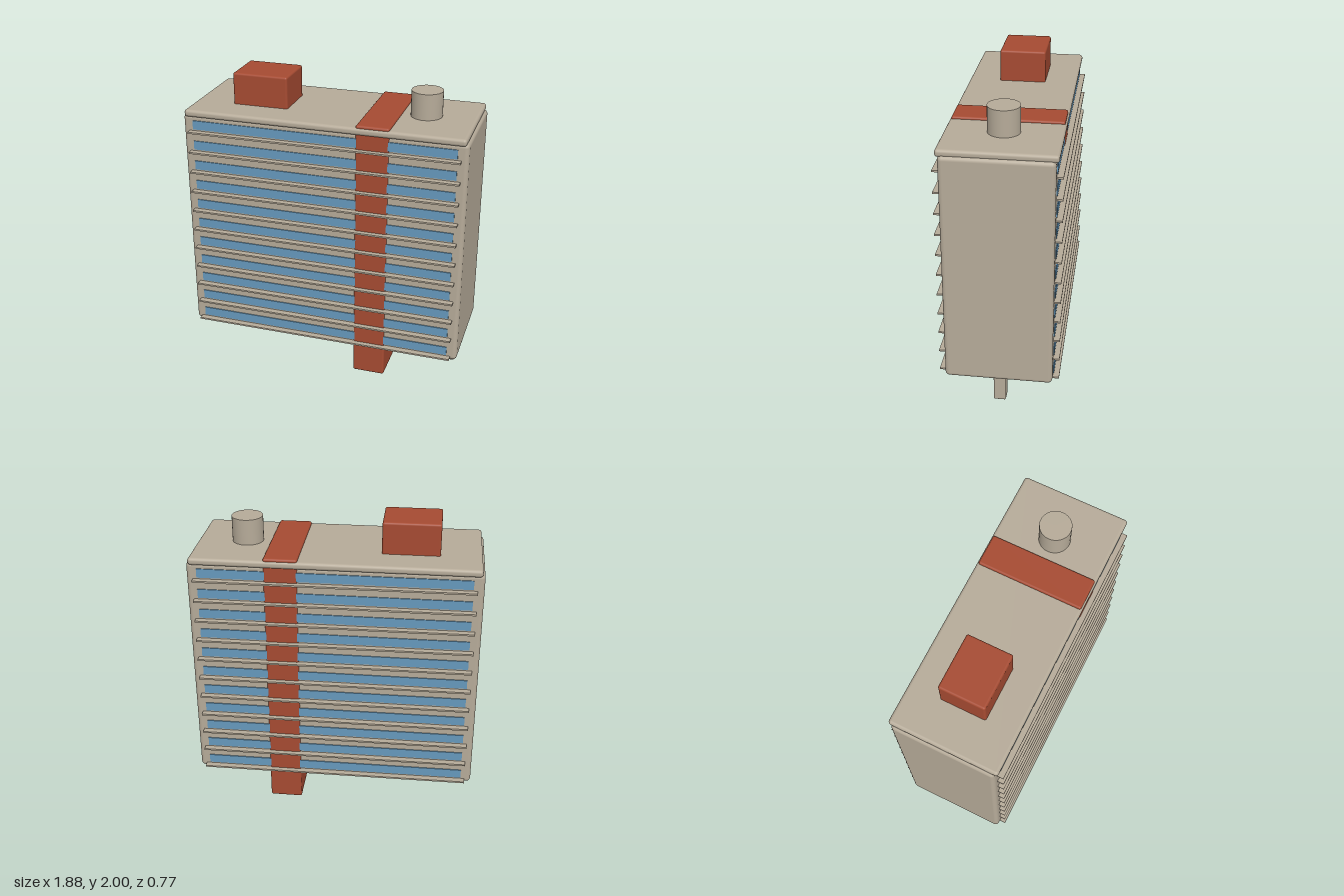
import * as THREE from 'three';
import { RoundedBoxGeometry } from 'three/addons/geometries/RoundedBoxGeometry.js';

export function createModel() {
  const model = new THREE.Group();
  model.name = 'slabBuilding';

  const mat = (name, color) => {
    const m = new THREE.MeshStandardMaterial({ color });
    m.name = name;
    return m;
  };
  const concrete = mat('concrete', 0xb6ab99);
  const brick = mat('brickRed', 0xa64b32);
  const glass = mat('blueGlass', 0x6699bd);

  const add = (name, geometry, material, x, y, z) => {
    const mesh = new THREE.Mesh(geometry, material);
    mesh.name = name;
    mesh.position.set(x, y, z);
    model.add(mesh);
    return mesh;
  };
  // Rounded block given by its lower and upper corners in x and y, centred on z = 0
  const block = (name, material, x0, x1, y0, y1, depth, radius) =>
    add(name, new RoundedBoxGeometry(x1 - x0, y1 - y0, depth, 3, radius), material,
      (x0 + x1) / 2, (y0 + y1) / 2, 0);

  // Main volume and roof
  block('body', concrete, -0.94, 0.94, 0.21, 1.755, 0.69, 0.028);
  block('roofSlab', concrete, -0.925, 0.925, 1.742, 1.79, 0.725, 0.02);

  // Stair core running from the ground through the roof
  block('stairCore', brick, 0.228, 0.445, 0.005, 1.805, 0.706, 0.014);

  // Rooftop parts
  block('plantRoom', brick, -0.66, -0.287, 1.775, 2, 0.306, 0.014);
  add('waterTank', new THREE.CylinderGeometry(0.102, 0.102, 0.18, 32), concrete, 0.6, 1.87, 0);

  // Ground-floor columns
  for (const x of [-0.84, -0.474, -0.004, 0.469, 0.836]) {
    block('column', concrete, x - 0.04, x + 0.04, 0.005, 0.23, 0.08, 0.01);
  }

  // Window bands and ledges on each storey, front and back
  const windowGeometry = new THREE.BoxGeometry(1.745, 0.06, 0.009);
  const ledgeGeometry = new THREE.BoxGeometry(1.795, 0.011, 0.045);
  for (let i = 0; i < 11; i++) {
    const y = 0.235 + i * 0.1407;
    for (const side of [-1, 1]) {
      add('windowBand', windowGeometry, glass, 0, y + 0.045, side * 0.3468);
      add('ledge', ledgeGeometry, concrete, 0, y, side * 0.3635);
    }
  }
  return model;
}
